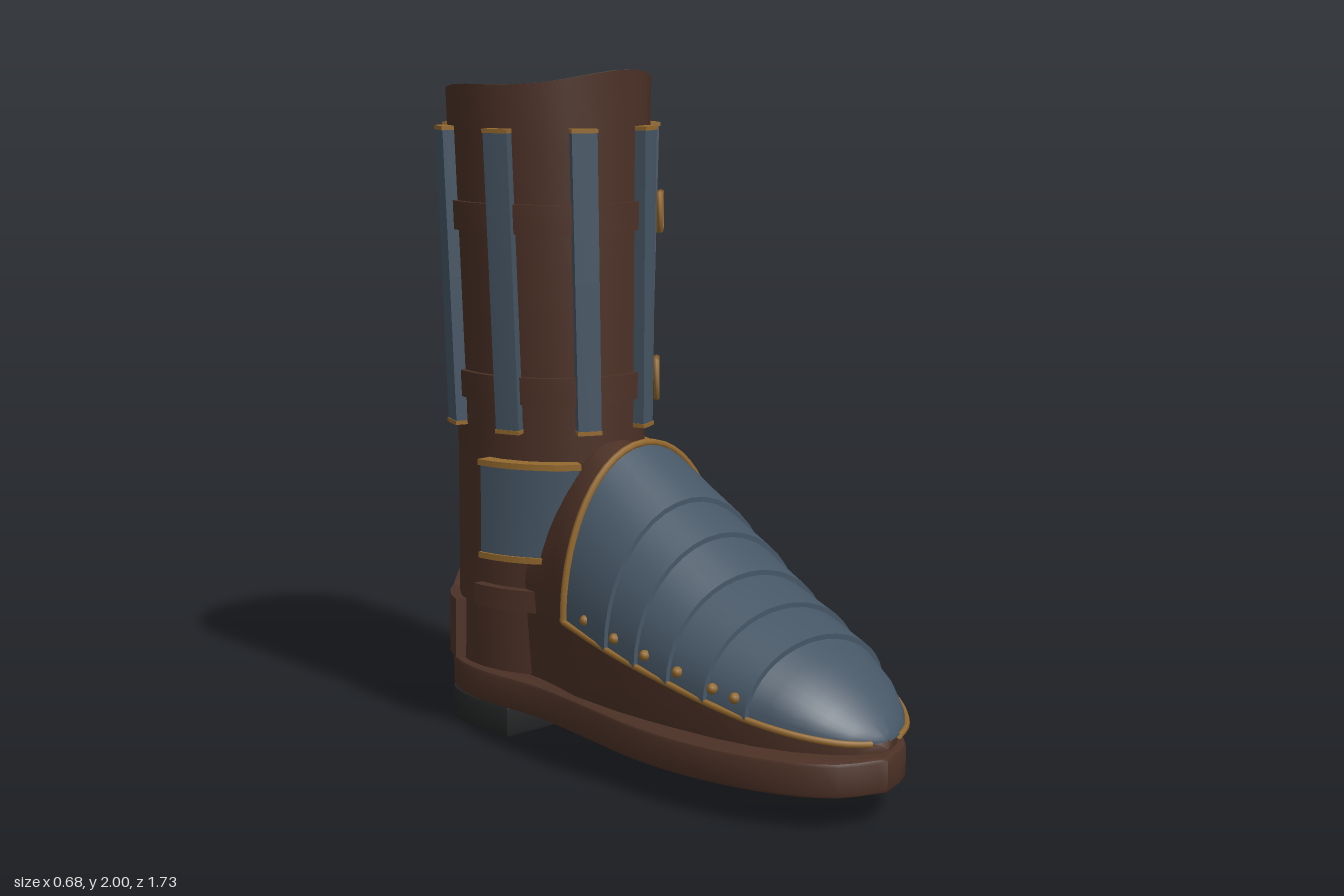
import * as THREE from 'three';
import { toCreasedNormals } from 'three/addons/utils/BufferGeometryUtils.js';

const lerp = THREE.MathUtils.lerp;

// Reads a table of rows [key, a, b...] with linear interpolation
function sample(table, k, col) {
  let i = 0;
  while (i < table.length - 2 && k > table[i + 1][0]) i++;
  const a = table[i], b = table[i + 1];
  return lerp(a[col], b[col], THREE.MathUtils.clamp((k - a[0]) / (b[0] - a[0]), 0, 1));
}

// Skins rows of points; wrap joins the last column to the first
function loft(rows, wrap = false) {
  const n = rows[0].length, pos = [], idx = [];
  rows.forEach(r => r.forEach(p => pos.push(p.x, p.y, p.z)));
  for (let i = 0; i < rows.length - 1; i++) {
    for (let j = 0; j < (wrap ? n : n - 1); j++) {
      const a = i * n + j, b = i * n + (j + 1) % n;
      idx.push(a, b, a + n, b, b + n, a + n);
    }
  }
  const g = new THREE.BufferGeometry();
  g.setAttribute('position', new THREE.Float32BufferAttribute(pos, 3));
  g.setIndex(idx);
  return toCreasedNormals(g, 0.6);
}

// Shaft surface: angle 0 faces front, rows are [y, half width]
const SHAFT = [[0.21, 0.275], [0.5, 0.268], [0.95, 0.265], [1.5, 0.288], [2, 0.31]];
const surf = (a, y, off = 0) => new THREE.Vector3(
  Math.sin(a) * (sample(SHAFT, y, 1) + off), y, -0.52 + Math.cos(a) * (0.305 + off));
const rimHeight = a => 1.95 + 0.035 * Math.cos(a) + 0.012 * Math.sin(a * 3 + 1);

function shaftWall(y0, off) {
  const rows = [];
  for (let i = 0; i <= 10; i++) {
    rows.push(Array.from({ length: 24 }, (_, j) => {
      const a = j / 24 * Math.PI * 2;
      return surf(a, lerp(y0, rimHeight(a), i / 10), off);
    }));
  }
  return loft(rows, true);
}

// Raised plate lying on the shaft, closed on every edge
function panel(a0, a1, y0, y1, off, n = 6, inner = -0.01) {
  const top = typeof y1 === 'function' ? y1 : () => y1;
  const row = (t, o) => Array.from({ length: n + 3 }, (_, j) => {
    const a = lerp(a0, a1, THREE.MathUtils.clamp((j - 1) / n, 0, 1));
    return surf(a, lerp(y0, top(a), t), j === 0 || j === n + 2 ? inner : o);
  });
  return loft([row(0, inner), row(0, off), row(0.5, off), row(1, off), row(1, inner)]);
}

// Foot profile rows: [z, half width, top height]
const FOOT = [[-0.45, 0.25, 0.6], [-0.3, 0.265, 0.88], [-0.22, 0.28, 0.94], [-0.1, 0.31, 0.92], [0.1, 0.322, 0.775],
  [0.22, 0.318, 0.69], [0.34, 0.308, 0.6], [0.47, 0.292, 0.53], [0.6, 0.262, 0.465], [0.7, 0.22, 0.41],
  [0.78, 0.165, 0.35], [0.83, 0.11, 0.3], [0.86, 0.05, 0.262], [0.87, 0.005, 0.247]];
const lowEdge = z => 0.24 + (0.87 - z) * 0.206;

function arch(z, grow = 0, n = 20) {
  const w = Math.max(0.003, sample(FOOT, z, 1) + grow), top = sample(FOOT, z, 2) + grow;
  const low = Math.min(lowEdge(z), top - 0.003);
  return Array.from({ length: n + 1 }, (_, j) => {
    const t = j / n * Math.PI;
    return new THREE.Vector3(w * Math.cos(t), low + (top - low) * Math.sin(t), z);
  });
}

// Flat slab from a mirrored outline of [x, z] points
function slab(pts, top, height, closedFront) {
  const half = pts.map(p => new THREE.Vector2(...p));
  const other = half.slice(0, -1).reverse().map(p => new THREE.Vector2(-p.x, p.y));
  const s = new THREE.Shape();
  s.moveTo(half[0].x, half[0].y);
  s.splineThru([...half.slice(1), ...other]);
  if (closedFront) s.closePath();
  const b = 0.012;
  const g = new THREE.ExtrudeGeometry(s, { depth: height - 2 * b, bevelEnabled: true,
    bevelSize: b, bevelThickness: b, bevelOffset: -b, bevelSegments: 2, curveSegments: 3 });
  g.rotateX(Math.PI / 2);
  g.translate(0, top - b, 0);
  return toCreasedNormals(g, 0.6);
}

export function createModel() {
  const model = new THREE.Group();
  model.name = 'armouredBoot';
  const mat = (name, color) => Object.assign(
    new THREE.MeshStandardMaterial({ color, side: THREE.DoubleSide }), { name });
  const leather = mat('brownLeather', 0x4c3126);
  const steel = mat('blueSteel', 0x465665);
  const brass = mat('brassTrim', 0x94692e);
  const rubber = mat('blackHeel', 0x252627);
  const lining = mat('oliveLining', 0x5c5342);
  const add = (name, g, m, parent = model) => {
    const mesh = new THREE.Mesh(g, m);
    mesh.name = name;
    parent.add(mesh);
    return mesh;
  };
  const tube = (name, pts, r = 0.009) =>
    add(name, new THREE.TubeGeometry(new THREE.CatmullRomCurve3(pts), 32, r, 6), brass);

  // Sole and heel block
  add('sole', slab([[0, 0.87], [0.14, 0.81], [0.24, 0.66], [0.3, 0.43], [0.31, 0.2], [0.28, -0.05],
    [0.252, -0.3], [0.26, -0.55], [0.22, -0.73], [0.12, -0.82], [0, -0.845]], 0.195, 0.1), leather);
  add('heel', slab([[0.25, -0.44], [0.255, -0.6], [0.22, -0.74], [0.12, -0.82], [0, -0.845]],
    0.1, 0.1, true), rubber);

  // Shaft with lining
  add('shaft', shaftWall(0.215, 0), leather);
  add('shaftLining', shaftWall(1.1, -0.012), lining);

  // Leather upper of the foot, with side walls down to the sole
  const upper = FOOT.map(([z]) => {
    const pts = arch(z, -0.025);
    const wall = p => new THREE.Vector3(p.x * 0.96, 0.212, z);
    return [wall(pts[0]), ...pts, wall(pts[pts.length - 1])];
  });
  add('footUpper', loft(upper), leather);

  // Overlapping lames, each flaring over the next one
  const seams = [-0.1, 0.1, 0.22, 0.34, 0.47, 0.6];
  seams.forEach((z0, i) => {
    if (i === seams.length - 1) return;
    const z1 = seams[i + 1], rows = [0, 0.5, 1].map(t => arch(lerp(z0, z1, t), 0.014 * t));
    rows.push(arch(z1, -0.004));
    add('footLame' + (i + 1), loft(rows), steel);
  });
  add('toeCap', loft([0.59, 0.65, 0.7, 0.74, 0.78, 0.83, 0.86, 0.87].map(z => arch(z))), steel);

  // Brass edging and rivets on the foot armour
  tube('archTrim', arch(-0.1, 0.003), 0.011);
  const edgeZ = [-0.1, 0.1, 0.22, 0.34, 0.47, 0.6, 0.7, 0.78, 0.83, 0.86];
  for (const s of [1, -1]) {
    tube('lowerTrim', edgeZ.map(z => new THREE.Vector3(s * (sample(FOOT, z, 1) + 0.005), lowEdge(z), z)));
    for (const z of [0, 0.13, 0.25, 0.37, 0.49, 0.56]) {
      const rivet = add('rivet', new THREE.SphereGeometry(0.016, 8, 6), brass);
      rivet.position.set(s * (sample(FOOT, z, 1) + 0.002), lowEdge(z) + 0.045, z);
    }
  }

  // Eight upright splints with brass ends
  for (let k = 0; k < 8; k++) {
    const a = (k + 0.5) * Math.PI / 4, h = 0.115;
    add('splint', panel(a - h, a + h, 0.95, 1.825, 0.036, 2), steel);
    for (const y of [0.943, 1.82]) {
      add('splintCap', panel(a - h - 0.005, a + h + 0.005, y, y + 0.012, 0.039, 2), brass);
    }
  }

  // Two straps with square buckles on the left side
  for (const [y0, y1, tilt] of [[1.53, 1.615, 0.7], [1.03, 1.11, 0.73]]) {
    const ring = (y, o) => Array.from({ length: 32 }, (_, j) => surf(j / 32 * Math.PI * 2, y, o));
    add('strap', loft([ring(y0, 0), ring(y0, 0.016), ring(y1, 0.016), ring(y1, 0)], true), leather);
    const buckle = new THREE.Group();
    buckle.name = 'buckle';
    const a = tilt + 0.1, y = (y0 + y1) / 2;
    buckle.position.copy(surf(a, y, 0.035));
    buckle.lookAt(surf(a, y, 1));
    const frame = new THREE.TorusGeometry(0.075, 0.011, 6, 4);
    frame.rotateZ(Math.PI / 4);
    add('buckleFrame', frame, brass, buckle);
    add('bucklePin', new THREE.BoxGeometry(0.1, 0.012, 0.012), brass, buckle);
    model.add(buckle);
  }

  // Ankle plates with edging, and the small straps below them
  for (const s of [1, -1]) {
    add('anklePlate', panel(s * 0.5, s * 1.47, 0.57, 0.855, 0.038), steel);
    for (const y of [0.562, 0.842]) {
      add('anklePlateTrim', panel(s * 0.49, s * 1.48, y, y + 0.018, 0.046), brass);
    }
    add('ankleStrap', panel(s * 0.7, s * 1.6, 0.41, 0.475, 0.03), leather);
  }

  // Heel counter rising to a point at the back
  add('heelCounter', panel(Math.PI - 1.2, Math.PI + 1.2, 0.22,
    a => 0.4 + 0.13 * Math.max(0, 1 - Math.abs(a - Math.PI) / 0.6), 0.03, 16), leather);
  return model;
}
